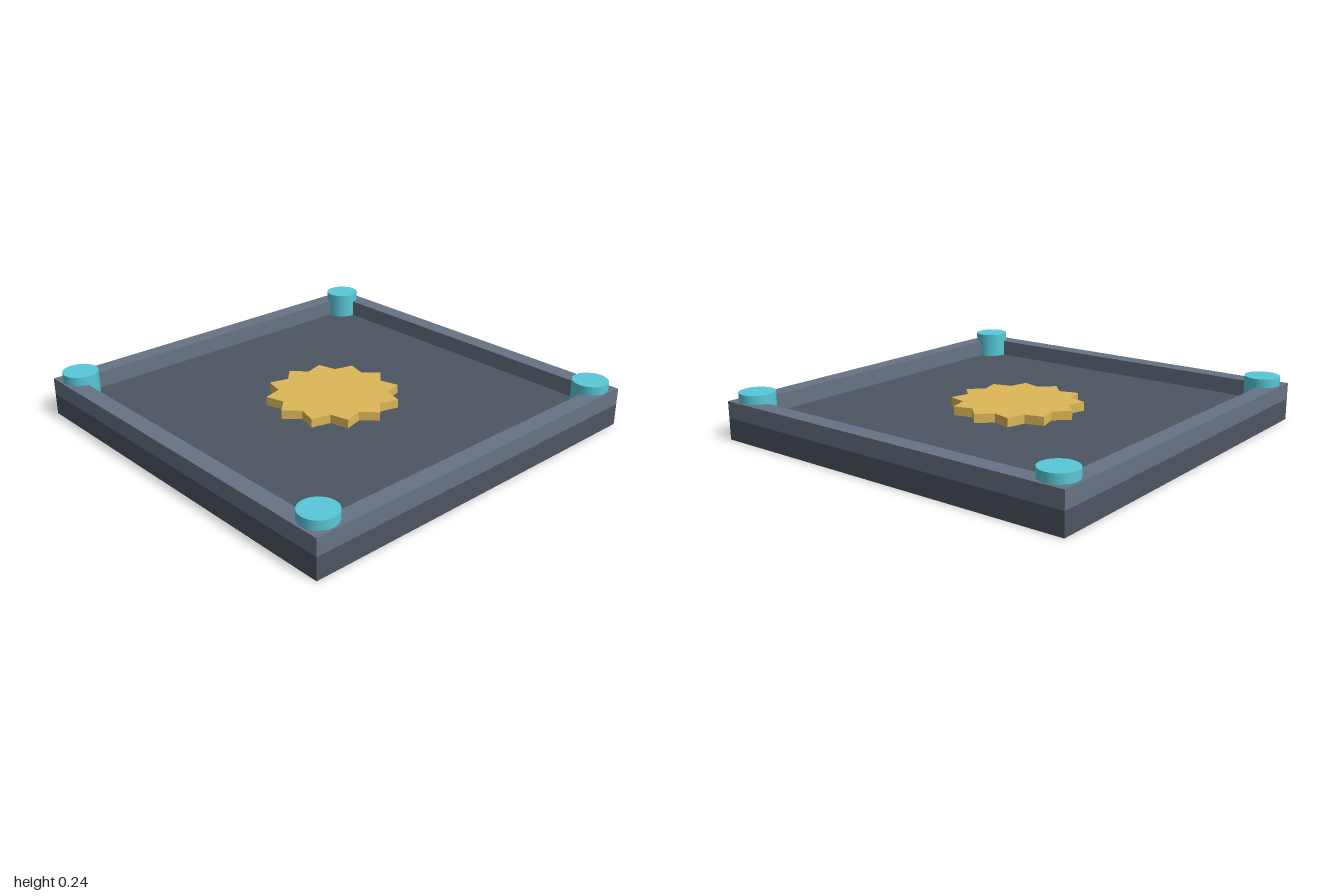
import * as THREE from 'three';

const FLOOR = 0.11, RIM_TOP = 0.195, RIM_IN = 0.91;

const material = (color) => new THREE.MeshStandardMaterial({ color });

function part(name, geometry, mat) {
  const mesh = new THREE.Mesh(geometry, mat);
  mesh.name = name;
  return mesh;
}

// Extrude a flat outline upwards from y0 to y1
function slab(shape, y0, y1) {
  return new THREE.ExtrudeGeometry(shape, { depth: y1 - y0, bevelEnabled: false })
    .rotateX(-Math.PI / 2)
    .translate(0, y0, 0);
}

const square = (h) => [[-h, -h], [h, -h], [h, h], [-h, h]].map(([x, y]) => new THREE.Vector2(x, y));

export function createModel() {
  const model = new THREE.Group();
  model.name = 'tile';

  // Square base plate
  const base = part('base', new THREE.BoxGeometry(2, FLOOR, 2), material(0x4d5562));
  base.position.y = FLOOR / 2;
  model.add(base);

  // Raised border around the floor
  const frame = new THREE.Shape(square(1));
  frame.holes.push(new THREE.Path(square(RIM_IN).reverse()));
  model.add(part('rim', slab(frame, FLOOR, RIM_TOP), material(0x677484)));

  // Twelve-pointed emblem in the middle
  const points = [];
  for (let i = 0; i < 24; i++) {
    const r = i % 2 ? 0.274 : 0.337, a = (i / 24) * Math.PI * 2;
    points.push(new THREE.Vector2(r * Math.cos(a), r * Math.sin(a)));
  }
  model.add(part('starburst', slab(new THREE.Shape(points), FLOOR, 0.155), material(0xddb858)));

  // Corner pegs standing on the floor
  const pegTop = 0.24, pegMat = material(0x58c8d8);
  const pegGeometry = new THREE.CylinderGeometry(0.09, 0.09, pegTop - FLOOR, 24);
  for (const x of [-0.9, 0.9]) {
    for (const z of [-0.9, 0.9]) {
      const peg = part('cornerPeg', pegGeometry, pegMat);
      peg.position.set(x, (pegTop + FLOOR) / 2, z);
      model.add(peg);
    }
  }

  return model;
}
